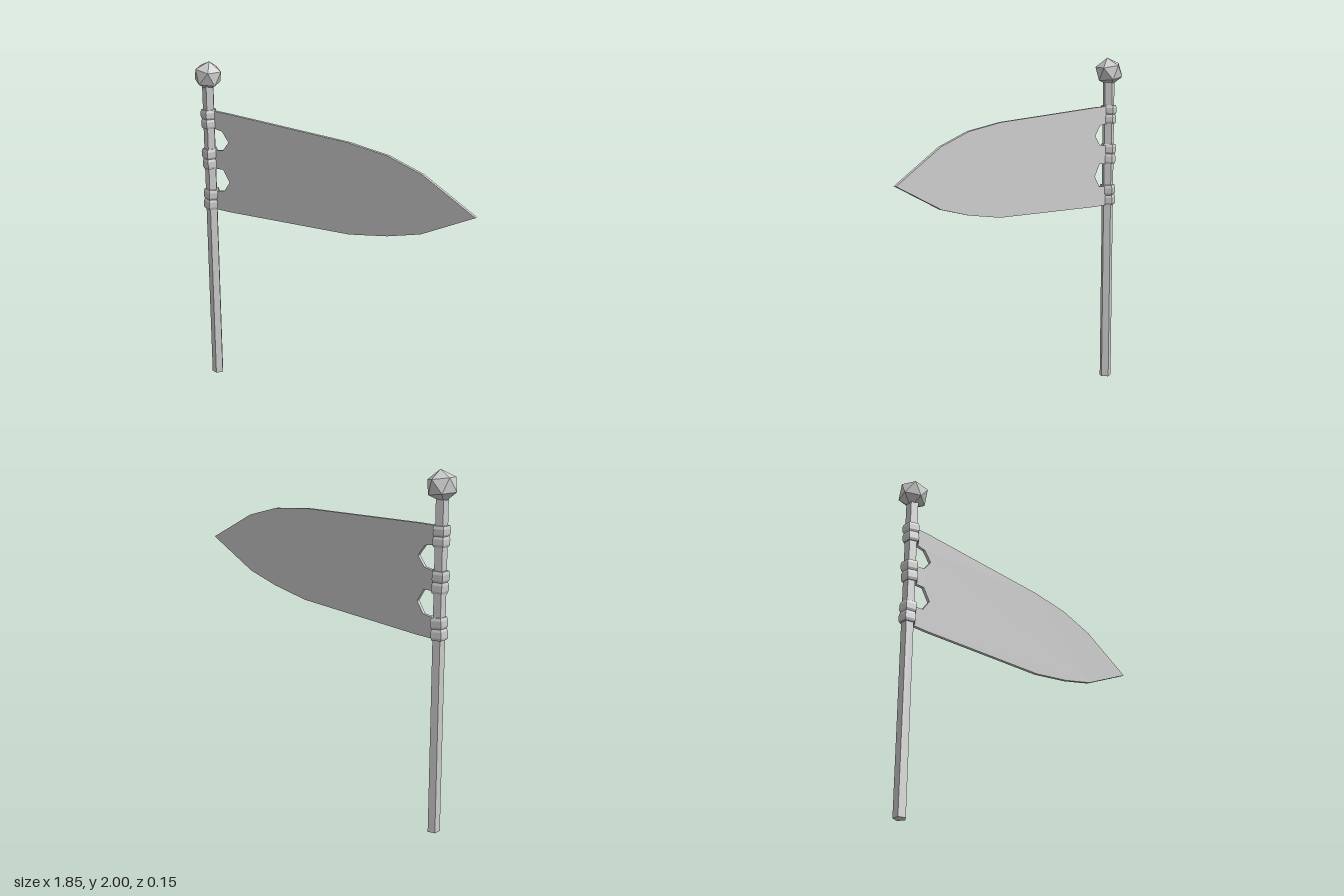
import * as THREE from 'three';
import { ConvexGeometry } from 'three/addons/geometries/ConvexGeometry.js';

const POLE_X = -0.846;
const material = new THREE.MeshStandardMaterial({ color: 0xcccccc, flatShading: true });

function addMesh(parent, name, geometry, x = 0, y = 0) {
  const mesh = new THREE.Mesh(geometry, material);
  mesh.name = name;
  mesh.position.set(x, y, 0);
  parent.add(mesh);
  return mesh;
}

// Twenty-sided ball: two poles and two staggered rings of five, slightly tilted
function finialGeometry(r) {
  const points = [new THREE.Vector3(0, r, 0), new THREE.Vector3(0, -r, 0)];
  const h = r / Math.sqrt(5);
  for (let i = 0; i < 5; i++) {
    const a = THREE.MathUtils.degToRad(-162 + 72 * i);
    const p = new THREE.Vector3(2 * h * Math.cos(a), h, 2 * h * Math.sin(a));
    points.push(p, p.clone().negate());
  }
  return new ConvexGeometry(points).rotateZ(-0.17).rotateX(0.03);
}

// Five-sided wrap with two bulges and a groove between them
function bandGeometry(height) {
  const profile = [
    [0.02, -0.5], [0.044, -0.5], [0.05, -0.38], [0.049, -0.12], [0.043, 0],
    [0.05, 0.1], [0.051, 0.36], [0.045, 0.5], [0.02, 0.5],
  ].map(([r, y]) => new THREE.Vector2(r, y * height));
  return new THREE.LatheGeometry(profile, 5, Math.PI / 2);
}

// Tapering pennant with two notches beside the pole
function pennantGeometry() {
  const outline = [
    [-0.84, 1.098], [-0.71, 1.098], [0.14, 1.133], [0.39, 1.175], [0.6, 1.23], [0.927, 1.39],
    [0.6, 1.57], [0.385, 1.637], [0.13, 1.67], [-0.71, 1.705], [-0.84, 1.707],
    [-0.84, 1.6], [-0.8, 1.6], [-0.75, 1.592], [-0.705, 1.532], [-0.75, 1.475], [-0.8, 1.468], [-0.84, 1.468],
    [-0.84, 1.355], [-0.8, 1.355], [-0.75, 1.357], [-0.705, 1.285], [-0.75, 1.22], [-0.8, 1.215], [-0.84, 1.215],
  ].map(([x, y]) => new THREE.Vector2(x, y));
  return new THREE.ExtrudeGeometry(new THREE.Shape(outline), { depth: 0.018, bevelEnabled: false })
    .translate(0, 0, -0.012);
}

export function createModel() {
  const model = new THREE.Group();
  model.name = 'pennantOnPole';

  // Pentagonal pole with one edge toward the pennant
  addMesh(model, 'pole', new THREE.CylinderGeometry(0.036, 0.036, 1.88, 5, 1, false, Math.PI / 2), POLE_X, 0.94);
  addMesh(model, 'finial', finialGeometry(0.087), POLE_X, 1.914);
  addMesh(model, 'pennant', pennantGeometry());

  // Wraps tying the pennant to the pole: [centre height, length, tilt]
  [[1.656, 0.112, 0.03], [1.413, 0.122, 0.05], [1.16, 0.124, -0.05]].forEach(([y, height, tilt], i) => {
    const band = addMesh(model, 'band' + (i + 1), bandGeometry(height), POLE_X, y);
    band.rotation.z = tilt;
  });

  return model;
}
